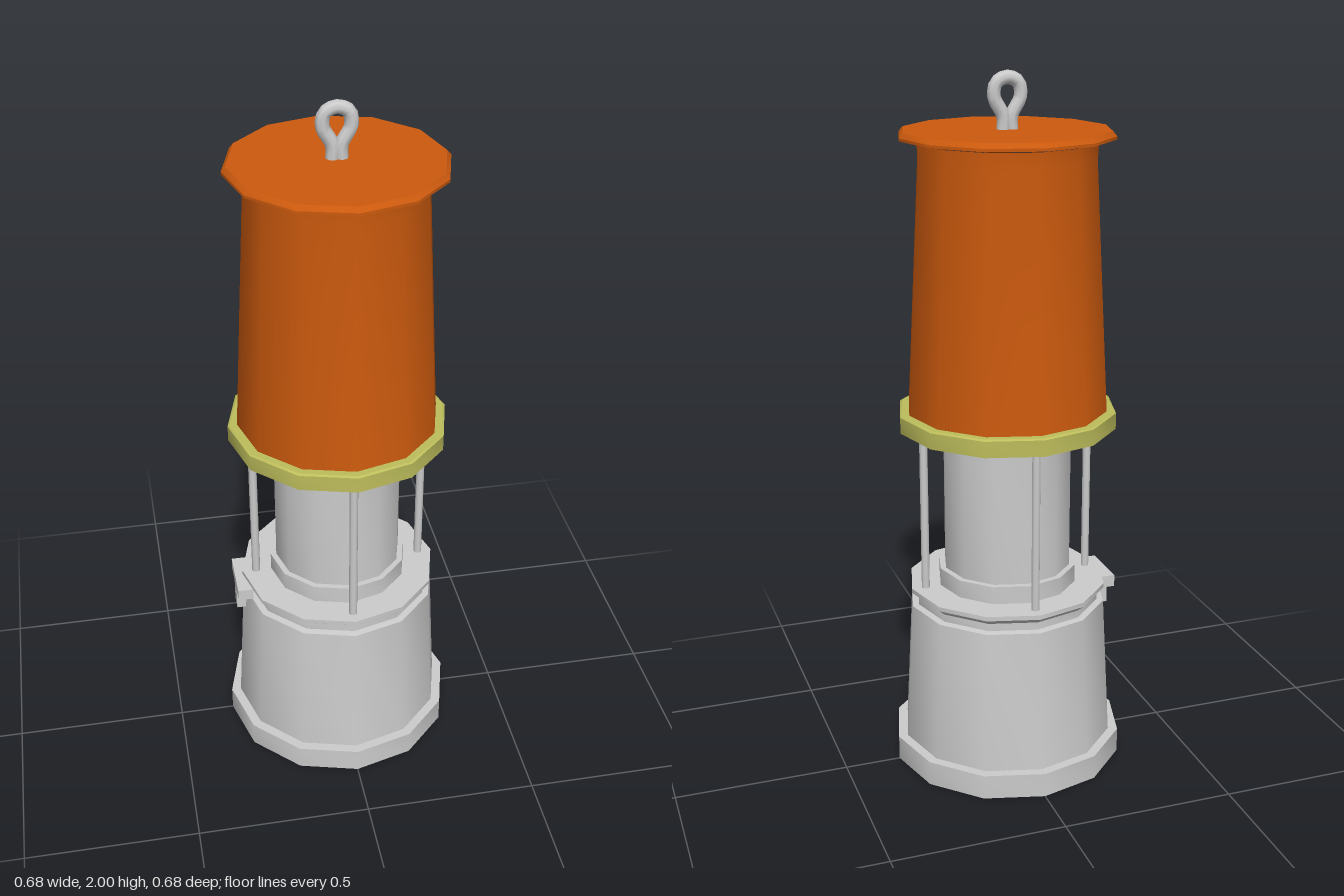
import * as THREE from 'three';
import { toCreasedNormals } from 'three/addons/utils/BufferGeometryUtils.js';

const SIDES = 12;

export function createModel() {
  const lamp = new THREE.Group();
  lamp.name = 'minersLamp';

  const grey = new THREE.MeshStandardMaterial({ color: 0xcccccc });
  const orange = new THREE.MeshStandardMaterial({ color: 0xcc5a0e });
  const olive = new THREE.MeshStandardMaterial({ color: 0xbdbd5c });

  function add(name, geometry, material, parent = lamp) {
    const mesh = new THREE.Mesh(geometry, material);
    mesh.name = name;
    parent.add(mesh);
    return mesh;
  }

  // Twelve-sided turned part from [radius, height] pairs, bottom to top
  function turned(name, profile, material) {
    const points = profile.map(([r, y]) => new THREE.Vector2(r, y));
    const geometry = new THREE.LatheGeometry(points, SIDES);
    return add(name, toCreasedNormals(geometry, 0.6), material);
  }

  // Fuel tank with foot rim, neck groove and top flange
  turned('fuelTank', [
    [0, 0], [0.338, 0], [0.338, 0.072], [0.31, 0.072], [0.287, 0.49],
    [0.268, 0.493], [0.268, 0.515], [0.288, 0.532], [0.288, 0.545], [0, 0.545],
  ], grey);

  // Glass chimney and its seat
  turned('glassSeat', [[0.202, 0.54], [0.202, 0.597], [0.18, 0.597]], grey);
  turned('glass', [[0.185, 0.59], [0.185, 1.01]], grey);

  // Collar with the stepped glass holder beneath it
  turned('collar', [
    [0.18, 0.987], [0.2, 0.987], [0.218, 1.005], [0.218, 1.02], [0.312, 1.02],
    [0.312, 1.066], [0.306, 1.07], [0.27, 1.07],
  ], olive);

  // Tapered bonnet and its overhanging lid
  turned('bonnet', [[0.286, 1.06], [0.247, 1.77], [0.25, 1.815]], orange);
  turned('lid', [
    [0.246, 1.815], [0.298, 1.824], [0.298, 1.832], [0.287, 1.845], [0, 1.845],
  ], orange);

  // Four guard pillars
  const pillars = new THREE.Group();
  pillars.name = 'pillars';
  lamp.add(pillars);
  const pillarGeometry = new THREE.CylinderGeometry(0.012, 0.012, 0.49, 8);
  for (let i = 0; i < 4; i++) {
    const angle = i * Math.PI / 2;
    add('pillar', pillarGeometry, grey, pillars)
      .position.set(0.247 * Math.cos(angle), 0.782, 0.247 * Math.sin(angle));
  }

  // T-shaped lock on the side of the tank
  const lock = new THREE.Group();
  lock.name = 'lock';
  lamp.add(lock);
  add('lockBar', new THREE.BoxGeometry(0.045, 0.035, 0.155), grey, lock)
    .position.set(-0.289, 0.516, 0);
  add('lockStem', new THREE.BoxGeometry(0.04, 0.08, 0.045), grey, lock)
    .position.set(-0.291, 0.465, 0);

  // Teardrop hanging loop
  const loop = new THREE.CatmullRomCurve3([
    [-0.012, 1.835], [-0.012, 1.88], [-0.037, 1.93], [-0.031, 1.967], [0, 1.981],
    [0.031, 1.967], [0.037, 1.93], [0.012, 1.88], [0.012, 1.835],
  ].map(([x, y]) => new THREE.Vector3(x, y, -0.006)));
  add('hangingLoop', new THREE.TubeGeometry(loop, 24, 0.019, 8), grey);

  return lamp;
}
